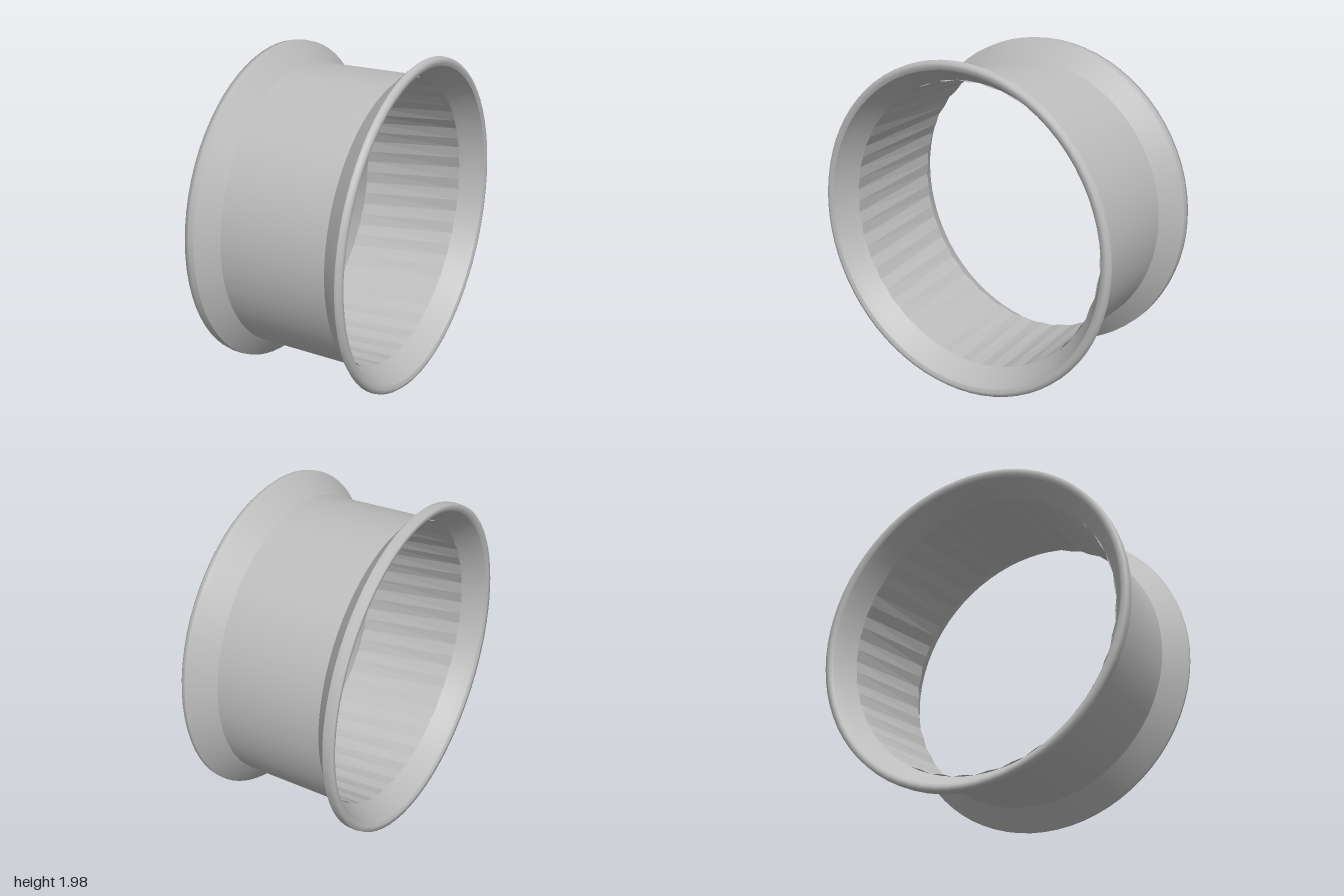
import * as THREE from 'three';

const SEGMENTS = 72;

export function createModel() {
  const group = new THREE.Group();
  group.name = 'flangedRing';
  const gray = new THREE.MeshStandardMaterial({ color: 0xbcbcbc, side: THREE.DoubleSide });
  gray.name = 'plain gray';

  // Each section is spun around the x axis from [x, radius] points:
  // outer faces run towards +x, inner faces towards -x.
  function ring(name, points) {
    const profile = points.map(([x, r]) => new THREE.Vector2(r, x));
    const geometry = new THREE.LatheGeometry(profile, SEGMENTS);
    geometry.rotateZ(-Math.PI / 2);
    geometry.translate(0, 1, 0);
    const mesh = new THREE.Mesh(geometry, gray);
    mesh.name = name;
    group.add(mesh);
    return mesh;
  }

  // Outside: barrel between two flared flanges
  ring('rightFlangeOuter', [[-0.43, 0.985], [-0.42, 0.972], [-0.335, 0.87]]);
  ring('barrelOuter', [[-0.335, 0.87], [0.32, 0.87]]);
  ring('leftFlangeOuter', [[0.32, 0.87], [0.43, 0.975], [0.45, 0.992]]);

  // Rounded end lips
  ring('leftLip', [[0.45, 0.992], [0.468, 0.99], [0.482, 0.978], [0.485, 0.96], [0.475, 0.94]]);
  ring('rightLip', [[-0.475, 0.94], [-0.488, 0.955], [-0.49, 0.982], [-0.46, 0.987], [-0.43, 0.985]]);

  // Inside slopes of the flanges
  ring('leftFlangeInner', [[0.475, 0.94], [0.43, 0.92], [0.33, 0.862]]);
  ring('rightFlangeInner', [[-0.34, 0.862], [-0.43, 0.91], [-0.475, 0.94]]);

  // Liner with shallow tapering pleats, staggered between its two ends
  const liner = ring('pleatedLiner', [[0.335, 0.86], [-0.345, 0.86]]);
  const p = liner.geometry.attributes.position;
  for (let i = 0; i < p.count; i++) {
    const angle = Math.atan2(p.getZ(i), p.getY(i) - 1);
    const step = Math.round((angle / (Math.PI * 2)) * SEGMENTS) + (p.getX(i) > 0 ? 1 : 0);
    const radius = 0.859 + (step % 2 === 0 ? 0.004 : -0.004);
    p.setY(i, 1 + radius * Math.cos(angle));
    p.setZ(i, radius * Math.sin(angle));
  }
  liner.geometry = liner.geometry.toNonIndexed();
  liner.geometry.computeVertexNormals();

  return group;
}
